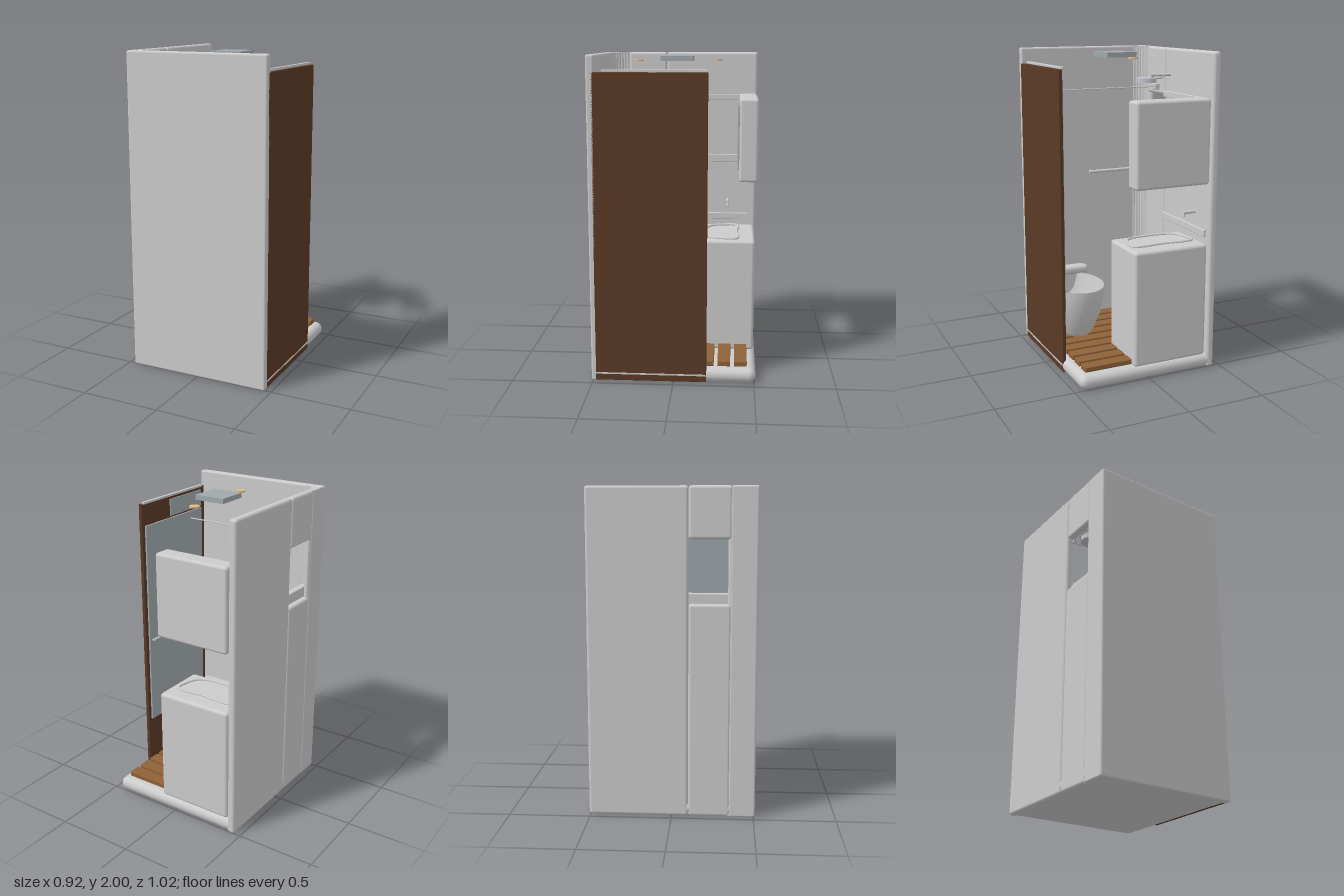
import * as THREE from 'three';
import { RoundedBoxGeometry } from 'three/addons/geometries/RoundedBoxGeometry.js';

const mat = (color) => new THREE.MeshStandardMaterial({ color });

export function createModel() {
  const root = new THREE.Group();
  const grey = mat(0xcccccc), brown = mat(0x5a3a26), wood = mat(0x8f6238);
  const tan = mat(0xdcb888), glass = mat(0xa0a8ac), lilac = mat(0xc6c4cc), dark = mat(0x333333);
  const open = mat(0xcccccc);
  open.side = THREE.DoubleSide;

  const add = (name, geometry, material = grey, parent = root) => {
    const m = new THREE.Mesh(geometry, material);
    m.name = name;
    parent.add(m);
    return m;
  };
  // Box between two corners, with rounded edges when r > 0
  const box = (name, [x0, x1], [y0, y1], [z0, z1], r = 0, material = grey, parent = root) => {
    const s = [x1 - x0, y1 - y0, z1 - z0];
    const g = r > 0 ? new RoundedBoxGeometry(...s, 4, r) : new THREE.BoxGeometry(...s);
    const m = add(name, g, material, parent);
    m.position.set((x0 + x1) / 2, (y0 + y1) / 2, (z0 + z1) / 2);
    return m;
  };
  // Straight round bar between two points
  const rod = (name, a, b, r, material = grey, parent = root) => {
    const p = new THREE.Vector3(...a), q = new THREE.Vector3(...b);
    const m = add(name, new THREE.CylinderGeometry(r, r, p.distanceTo(q), 20), material, parent);
    m.position.copy(p).add(q).multiplyScalar(0.5);
    m.quaternion.setFromUnitVectors(new THREE.Vector3(0, 1, 0), q.sub(p).normalize());
    return m;
  };
  const group = (name) => {
    const g = new THREE.Group();
    g.name = name;
    root.add(g);
    return g;
  };

  // Floor tray and wooden grating
  box('floorTray', [-0.46, 0.46], [0, 0.09], [-0.51, 0.51], 0.044);
  const grating = group('floorGrating');
  for (let i = 0; i < 9; i++) {
    const z = -0.415 + i * 0.103;
    box('floorSlat', [-0.4, 0.41], [0.093, 0.125], [z - 0.04, z + 0.04], 0.004, wood, grating);
  }

  // Walls: front, right side with window gap, corner return
  box('frontWall', [-0.46, 0.46], [0, 2], [0.46, 0.51], 0.012);
  const side = group('rightWall');
  box('rearPanel', [-0.46, -0.41], [0, 2], [-0.51, 0.1], 0.018, grey, side);
  box('lowerPanel', [-0.46, -0.41], [0, 1.31], [0.1, 0.355], 0.018, grey, side);
  box('upperPanel', [-0.46, -0.41], [1.69, 2], [0.1, 0.355], 0.018, grey, side);
  box('cornerReturn', [-0.46, -0.435], [0, 2], [0.35, 0.5], 0.01, grey, side);
  box('windowShelf', [-0.412, -0.37], [1.27, 1.37], [-0.02, 0.42], 0.008, grey, side);
  box('upperTrim', [-0.412, -0.398], [1.68, 1.72], [-0.4, 0.1], 0.004, grey, side);
  box('lowerTrim', [-0.412, -0.398], [1.26, 1.31], [-0.4, 0.1], 0.004, grey, side);
  box('splashTrim', [-0.412, -0.395], [0.855, 0.9], [-0.46, 0.1], 0.004, grey, side);

  // Ribbed curtain bending round the corner
  const ribs = group('cornerRibs');
  for (let i = 0; i < 11; i++) {
    const a = (i / 10) * Math.PI / 2;
    const x = -0.3 - 0.14 * Math.cos(a), z = 0.35 + 0.135 * Math.sin(a);
    rod('rib', [x, 0.003, z], [x, 1.998, z], 0.016, grey, ribs);
  }

  // Brown door on the left side, with inner panel, rails and handle
  const door = group('leftDoor');
  box('doorPanel', [0.436, 0.46], [0.005, 1.9], [-0.205, 0.485], 0.004, brown, door);
  box('bottomTrack', [0.45, 0.462], [0.045, 0.055], [-0.2, 0.48], 0, grey, door);
  box('topTrack', [0.42, 0.44], [1.9, 1.915], [-0.2, 0.42], 0.003, grey, door);
  box('innerPanel', [0.424, 0.437], [0.4, 1.76], [-0.18, 0.42], 0.003, glass, door);
  box('innerVent', [0.43, 0.437], [1.77, 1.88], [0.08, 0.42], 0, glass, door);
  rod('handleStem', [0.44, 0.98, -0.15], [0.417, 0.98, -0.15], 0.008, grey, door);
  rod('handleGrip', [0.417, 0.98, -0.15], [0.417, 0.98, -0.085], 0.008, grey, door);

  // Washbasin cabinet: raised basin rim and wall tap
  const basin = group('washbasin');
  box('basinCabinet', [-0.4, 0.1], [0.085, 0.82], [-0.5, -0.14], 0.02, grey, basin);
  const rim = [[-0.355, -0.38], [-0.15, -0.382], [0.045, -0.38], [0.045, -0.29], [0.015, -0.215],
    [-0.04, -0.185], [-0.155, -0.176], [-0.27, -0.185], [-0.325, -0.215], [-0.355, -0.29]];
  const rimCurve = new THREE.CatmullRomCurve3(
    rim.map(([x, z]) => new THREE.Vector3(x, 0.824, z)), true, 'centripetal');
  add('basinRim', new THREE.TubeGeometry(rimCurve, 80, 0.009, 10, true), grey, basin);
  rod('tapSpout', [-0.41, 0.99, -0.32], [-0.325, 0.99, -0.32], 0.011, grey, basin);
  rod('tapOutlet', [-0.335, 0.99, -0.32], [-0.325, 0.96, -0.32], 0.009, grey, basin);

  // Wall cabinet with mirror
  box('wallCabinet', [-0.4, 0.1], [1.2, 1.725], [-0.51, -0.392], 0.018);
  box('mirror', [-0.38, 0.07], [1.28, 1.68], [-0.393, -0.383], 0.002, glass);

  // Toilet: open oval bowl, cistern and hinge pad
  const toilet = group('toilet');
  const profile = [[0, 0.11], [0.45, 0.11], [0.6, 0.15], [0.82, 0.26], [0.95, 0.37], [1, 0.46],
    [0.97, 0.46], [0.9, 0.36], [0.72, 0.25], [0.4, 0.19], [0, 0.17]];
  const bowl = add('bowl', new THREE.LatheGeometry(
    profile.map(([r, y]) => new THREE.Vector2(r, y)), 48), open, toilet);
  bowl.scale.set(0.188, 1, 0.245);
  bowl.position.set(0.225, 0, 0.155);
  box('cistern', [0.04, 0.415], [0.1, 0.5], [0.355, 0.462], 0.035, grey, toilet);
  box('hingePad', [0.05, 0.4], [0.455, 0.515], [0.328, 0.384], 0.025, grey, toilet);

  // Shower: round head, arm, bent bracket, curtain rod
  const shower = group('shower');
  rod('showerHead', [-0.235, 1.785, 0.028], [-0.235, 1.815, 0.028], 0.066, lilac, shower);
  rod('showerArm', [-0.41, 1.83, 0.028], [-0.265, 1.83, 0.028], 0.01, grey, shower);
  rod('showerJoint', [-0.285, 1.83, 0.028], [-0.265, 1.83, 0.028], 0.014, grey, shower);
  const bend = [[-0.355, 1.82, 0.02], [-0.28, 1.82, -0.087], [-0.235, 1.82, -0.087], [-0.315, 1.82, 0.02]];
  for (let i = 0; i < 3; i++) rod('bracketBar', bend[i], bend[i + 1], 0.006, grey, shower);
  rod('curtainRod', [-0.4, 1.74, 0.203], [0.358, 1.74, 0.203], 0.004, grey, shower);
  box('rodBracket', [-0.412, -0.378], [1.72, 1.76], [0.18, 0.225], 0.006, grey, shower);

  // Towel bar on the front wall
  rod('towelBar', [-0.38, 1.15, 0.42], [0, 1.15, 0.42], 0.011);
  for (const x of [-0.36, -0.02]) rod('towelBarMount', [x, 1.15, 0.42], [x, 1.15, 0.465], 0.008);

  // Ceiling vent with louvres, and two lamps
  const vent = group('ceilingVent');
  box('ventTop', [-0.1, 0.1], [1.975, 1.986], [-0.1, 0.1], 0, glass, vent);
  box('ventDark', [-0.09, 0.09], [1.971, 1.975], [-0.09, 0.09], 0, dark, vent);
  for (const s of [-1, 1]) {
    box('ventEdge', [s * 0.095 - 0.005, s * 0.095 + 0.005], [1.955, 1.976], [-0.1, 0.1], 0, glass, vent);
    box('ventEdge', [-0.1, 0.1], [1.955, 1.976], [s * 0.095 - 0.005, s * 0.095 + 0.005], 0, glass, vent);
  }
  for (let i = -1; i <= 1; i++) {
    const louvre = box('louvre', [-0.09, 0.09], [1.96, 1.964], [i * 0.047 - 0.01, i * 0.047 + 0.01], 0, glass, vent);
    louvre.rotation.x = 0.5;
  }
  for (const z of [-0.25, 0.245]) rod('ceilingLamp', [0, 1.953, z], [0, 1.962, z], 0.032, tan);

  return root;
}
